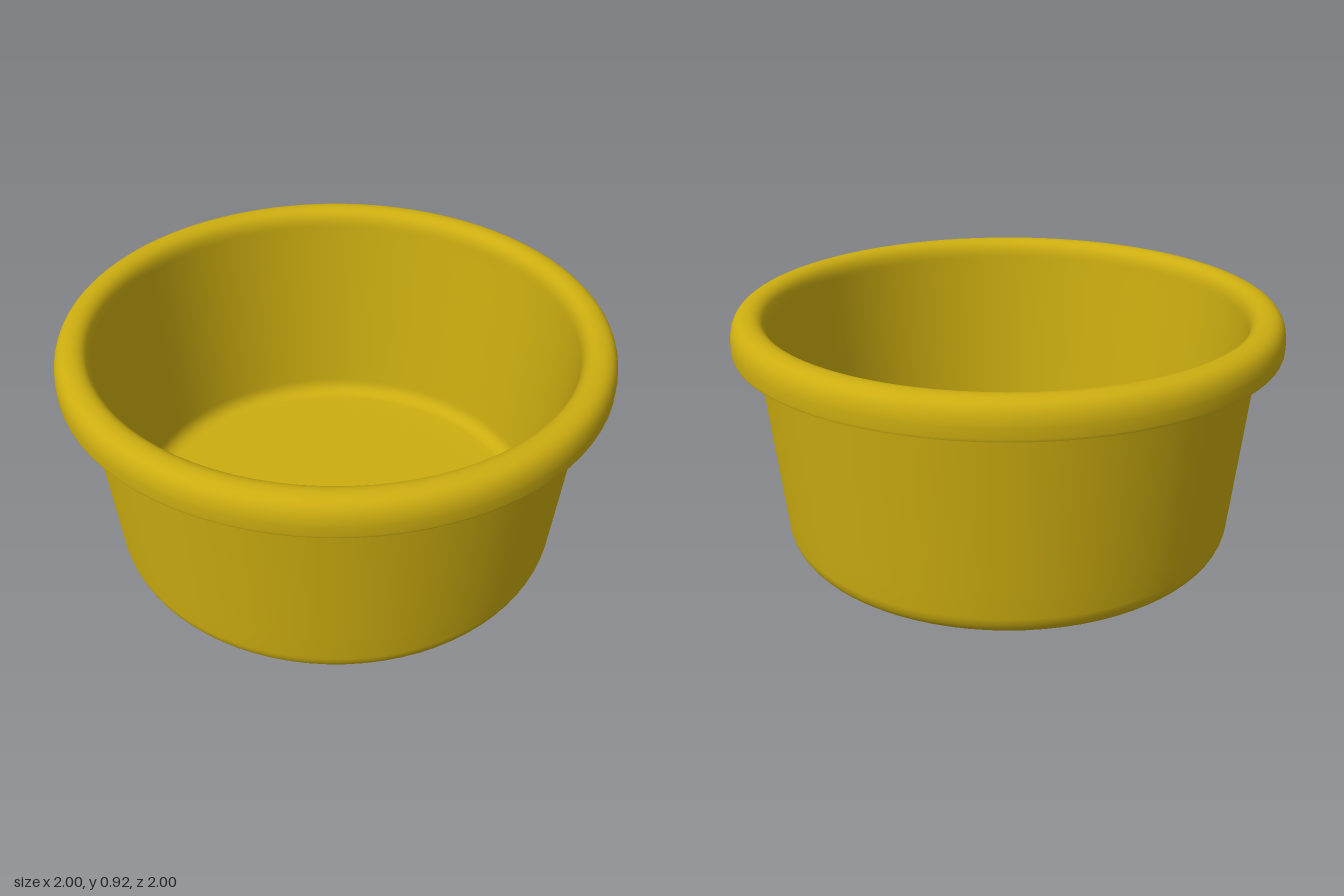
import * as THREE from 'three';

const V = (x, y) => new THREE.Vector2(x, y);

// Quarter-round corner from a to b, pulled towards c
function corner(a, c, b, n = 10) {
  return new THREE.QuadraticBezierCurve(V(...a), V(...c), V(...b)).getPoints(n);
}

export function createModel() {
  const group = new THREE.Group();
  group.name = 'ramekin';
  const mustard = new THREE.MeshStandardMaterial({ color: 0xccad10 });
  mustard.name = 'mustard';

  // The profile runs from the base outward, up, over the lip and down inside
  const addLathe = (name, points) => {
    const mesh = new THREE.Mesh(new THREE.LatheGeometry(points, 80), mustard);
    mesh.name = name;
    group.add(mesh);
  };

  // Slightly domed base, rounded foot and tapered wall
  addLathe('outerWall', [
    V(0, 0), V(0.45, 0.002), V(0.7, 0.007),
    ...corner([0.765, 0.01], [0.833, 0.016], [0.846, 0.09]),
    V(0.856, 0.19), V(0.914, 0.79), V(0.918, 0.835),
  ]);

  // Hollow underside of the rolled lip
  addLathe('lipUnderside', [
    ...corner([0.918, 0.835], [0.92, 0.875], [0.94, 0.875], 6),
    ...corner([0.945, 0.875], [0.972, 0.87], [0.974, 0.83], 6),
    V(0.975, 0.79),
  ]);

  // Thin lower edge of the lip
  addLathe('lipEdge', [V(0.975, 0.79), V(0.997, 0.79)]);

  // Rounded lip, inner wall and floor
  addLathe('lipAndInside', [
    V(0.997, 0.79), V(1, 0.8),
    ...corner([1, 0.835], [0.995, 0.912], [0.935, 0.915], 12),
    ...corner([0.925, 0.915], [0.874, 0.91], [0.871, 0.84], 12),
    V(0.866, 0.78), V(0.812, 0.2),
    ...corner([0.803, 0.11], [0.797, 0.055], [0.745, 0.05]),
    V(0.7, 0.048), V(0.45, 0.045), V(0, 0.045),
  ]);

  return group;
}
